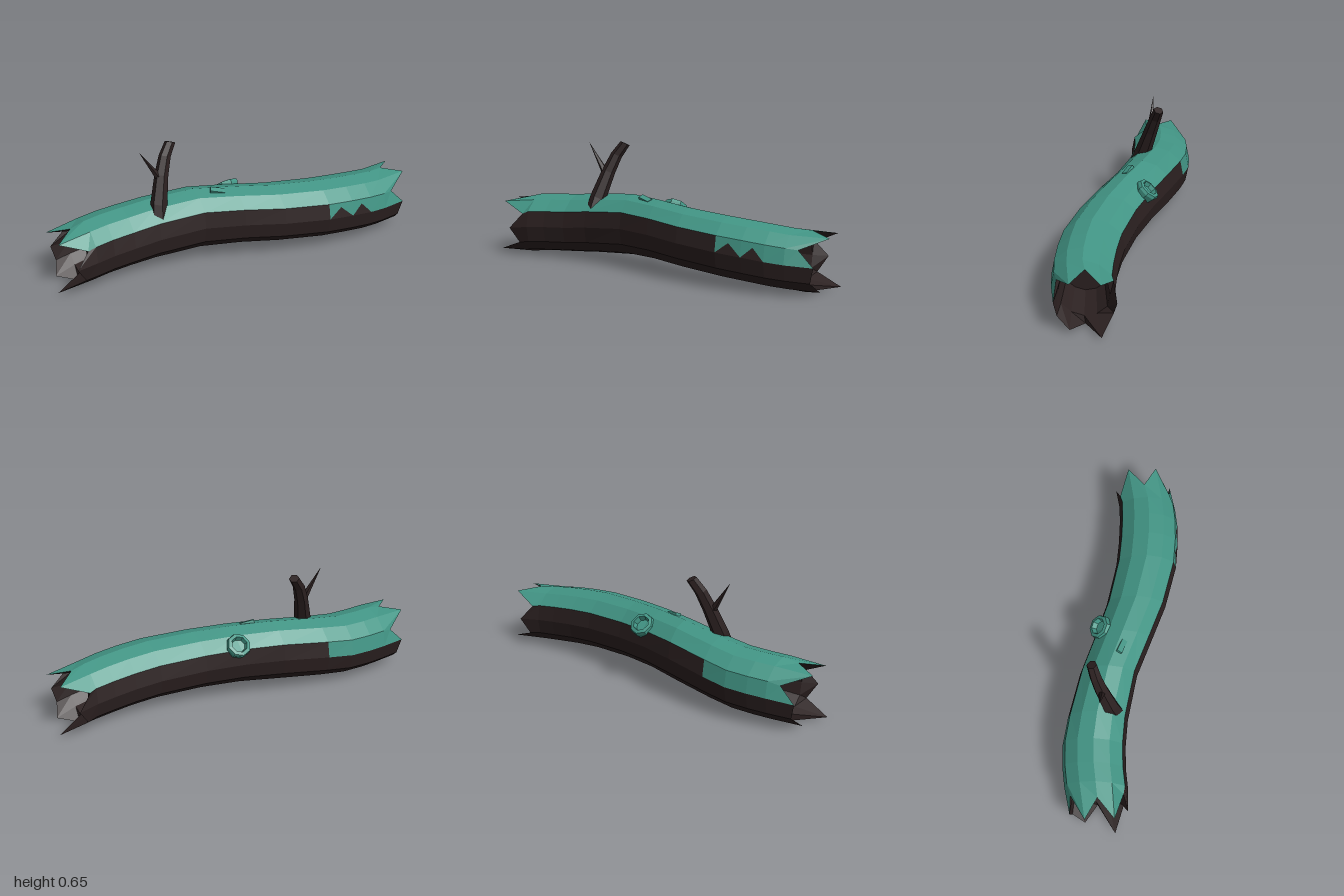
import * as THREE from 'three';

const SIDES = 12;
// Trunk stations: x, centre z, centre y, half depth, half height
const STATIONS = [
  [-0.8, -0.1, 0.18, 0.165, 0.162], [-0.7, -0.115, 0.186, 0.165, 0.162],
  [-0.58, -0.121, 0.192, 0.164, 0.162], [-0.44, -0.108, 0.207, 0.157, 0.164],
  [-0.2, -0.062, 0.229, 0.15, 0.165], [0, 0.005, 0.229, 0.153, 0.159],
  [0.2, 0.068, 0.218, 0.158, 0.157], [0.44, 0.115, 0.205, 0.163, 0.158],
  [0.58, 0.122, 0.195, 0.162, 0.158], [0.7, 0.12, 0.184, 0.16, 0.158],
  [0.8, 0.11, 0.175, 0.155, 0.156],
];
// Reach of the splintered rim at each corner, counted from the front face upward
const SPLINTERS = [0.91, 0.84, 0.98, 0.88, 0.99, 0.86, 0.94, 0.92, 0.95, 0.85, 1.0, 0.86];

export function createModel() {
  const bark = new THREE.MeshStandardMaterial({ color: 0x2b2020, flatShading: true });
  bark.name = 'bark';
  const moss = new THREE.MeshStandardMaterial({ color: 0x429585, flatShading: true });
  moss.name = 'moss';
  const model = new THREE.Group();
  model.name = 'hollowLog';

  const add = (name, geometry, material) => {
    const mesh = new THREE.Mesh(geometry, material);
    mesh.name = name;
    model.add(mesh);
    return mesh;
  };
  const fromTriangles = (points) => {
    const g = new THREE.BufferGeometry();
    g.setAttribute('position', new THREE.Float32BufferAttribute(points.flatMap((p) => p.toArray()), 3));
    g.computeVertexNormals();
    return g;
  };
  const quad = (out, a, b, c, d) => out.push(a, b, c, a, c, d);

  const corner = ([x, cz, cy, rz, ry], i, scale = 1) => {
    const a = (i % SIDES) * Math.PI * 2 / SIDES;
    const bulge = i % 6 === 1 || i % 6 === 5 ? 1.04 : 1;
    return new THREE.Vector3(x, cy + ry * Math.sin(a) * scale * bulge, cz + rz * Math.cos(a) * scale * bulge);
  };
  const ring = (s, scale) => Array.from({ length: SIDES }, (_, i) => corner(s, i, scale));
  // Torn rim; the two ends are half-turn copies of each other
  const rim = (side) => Array.from({ length: SIDES }, (_, i) => {
    const reach = SPLINTERS[side < 0 ? i : (18 - i) % SIDES];
    const cz = side * (0.1 - (reach - 0.8) * 0.15);
    return corner([side * reach, cz, 0.167, 0.152, 0.156], i);
  });

  // Outer skin: moss over the top, bark around the sides and underneath
  const barkFaces = [], mossFaces = [];
  const rows = [rim(-1), ...STATIONS.map((s) => ring(s)), rim(1)];
  for (let s = 0; s < rows.length - 1; s++) {
    const last = rows.length - 2;
    for (let i = 0; i < SIDES; i++) {
      const j = (i + 1) % SIDES;
      const a = rows[s][i], b = rows[s + 1][i], c = rows[s + 1][j], d = rows[s][j];
      const hanging = (i === 0 && s >= 8) || (i === 5 && s <= last - 8);
      if (i === 0 && (s === 9 || s === 8)) {
        // bark peaks showing through the hanging moss
        const peak = a.clone().lerp(b, 0.5).lerp(c.clone().lerp(d, 0.5), 0.7);
        barkFaces.push(a, b, peak);
        mossFaces.push(b, c, peak, c, d, peak, d, a, peak);
      } else quad((i >= 1 && i <= 4) || hanging ? mossFaces : barkFaces, a, b, c, d);
    }
  }
  add('barkSkin', fromTriangles(barkFaces), bark);
  add('mossBlanket', fromTriangles(mossFaces), moss);

  // Hollow inside each end
  for (const side of [-1, 1]) {
    const faces = [];
    const edge = rim(side);
    const mouth = ring([side * 0.84, side * 0.1, 0.173, 0.15, 0.15], 0.83);
    const deep = ring([side * 0.66, side * 0.12, 0.185, 0.16, 0.155], 0.66);
    const middle = new THREE.Vector3(side * 0.66, 0.185, side * 0.12);
    for (let i = 0; i < SIDES; i++) {
      const [p, q] = side > 0 ? [i, (i + 1) % SIDES] : [(i + 1) % SIDES, i];
      quad(faces, edge[p], mouth[p], mouth[q], edge[q]);
      quad(faces, mouth[p], deep[p], deep[q], mouth[q]);
      faces.push(deep[p], middle, deep[q]);
    }
    // wind the faces to look inward
    for (let k = 0; k < faces.length; k += 3) {
      const [a, b, c] = faces.slice(k, k + 3);
      const n = b.clone().sub(a).cross(c.clone().sub(a));
      const mid = a.clone().add(b).add(c).divideScalar(3);
      const target = new THREE.Vector3(side * 1.1, 0.175, side * 0.09);
      if (n.dot(target.sub(mid)) < 0) [faces[k + 1], faces[k + 2]] = [c, b];
    }
    add(side < 0 ? 'rightHollow' : 'leftHollow', fromTriangles(faces), bark);
  }

  // Branch: hexagonal sections swept along a leaning path
  const branchPath = [
    [-0.415, 0.29, -0.02, 0.047], [-0.405, 0.36, -0.045, 0.044],
    [-0.365, 0.5, -0.09, 0.036], [-0.33, 0.59, -0.118, 0.031], [-0.288, 0.653, -0.138, 0.027],
  ];
  const up = new THREE.Vector3(0.32, 0.9, -0.28).normalize();
  const u = new THREE.Vector3(1, 0, 0).cross(up).normalize(), v = up.clone().cross(u);
  const sections = branchPath.map(([x, y, z, r]) => Array.from({ length: 6 }, (_, i) => {
    const a = i * Math.PI / 3;
    return new THREE.Vector3(x, y, z).addScaledVector(u, r * Math.cos(a)).addScaledVector(v, r * Math.sin(a));
  }));
  const branchFaces = [];
  for (let s = 0; s < sections.length - 1; s++) {
    for (let i = 0; i < 6; i++) {
      const j = (i + 1) % 6;
      quad(branchFaces, sections[s][i], sections[s][j], sections[s + 1][j], sections[s + 1][i]);
    }
  }
  const top = sections[sections.length - 1], foot = sections[0];
  for (let i = 1; i < 5; i++) branchFaces.push(top[0], top[i], top[i + 1], foot[0], foot[i + 1], foot[i]);
  add('branch', fromTriangles(branchFaces), bark);

  // Pointed twig
  const Y = new THREE.Vector3(0, 1, 0);
  const from = new THREE.Vector3(-0.37, 0.475, -0.085), to = new THREE.Vector3(-0.485, 0.655, -0.09);
  const twig = add('twig', new THREE.ConeGeometry(0.022, from.distanceTo(to), 5), bark);
  twig.position.copy(from).lerp(to, 0.5);
  twig.quaternion.setFromUnitVectors(Y, to.clone().sub(from).normalize());

  // Knot on the back: a short mossy collar with a sunken middle
  const profile = [[0, 0.022], [0.036, 0.022], [0.044, 0.05], [0.062, 0.046], [0.066, 0.03], [0.045, -0.04]];
  const knot = add('knot', new THREE.LatheGeometry(
    profile.reverse().map(([x, y]) => new THREE.Vector2(x, y)), 8), moss);
  knot.position.set(0.03, 0.31, -0.095);
  knot.quaternion.setFromUnitVectors(Y, new THREE.Vector3(0, 0.75, -0.66).normalize());

  // Small bump on the crest
  const bump = add('mossBump', new THREE.BoxGeometry(0.075, 0.03, 0.03), moss);
  bump.position.set(-0.09, 0.378, 0);
  bump.rotation.set(0.4, -0.4, -0.05);

  return model;
}
